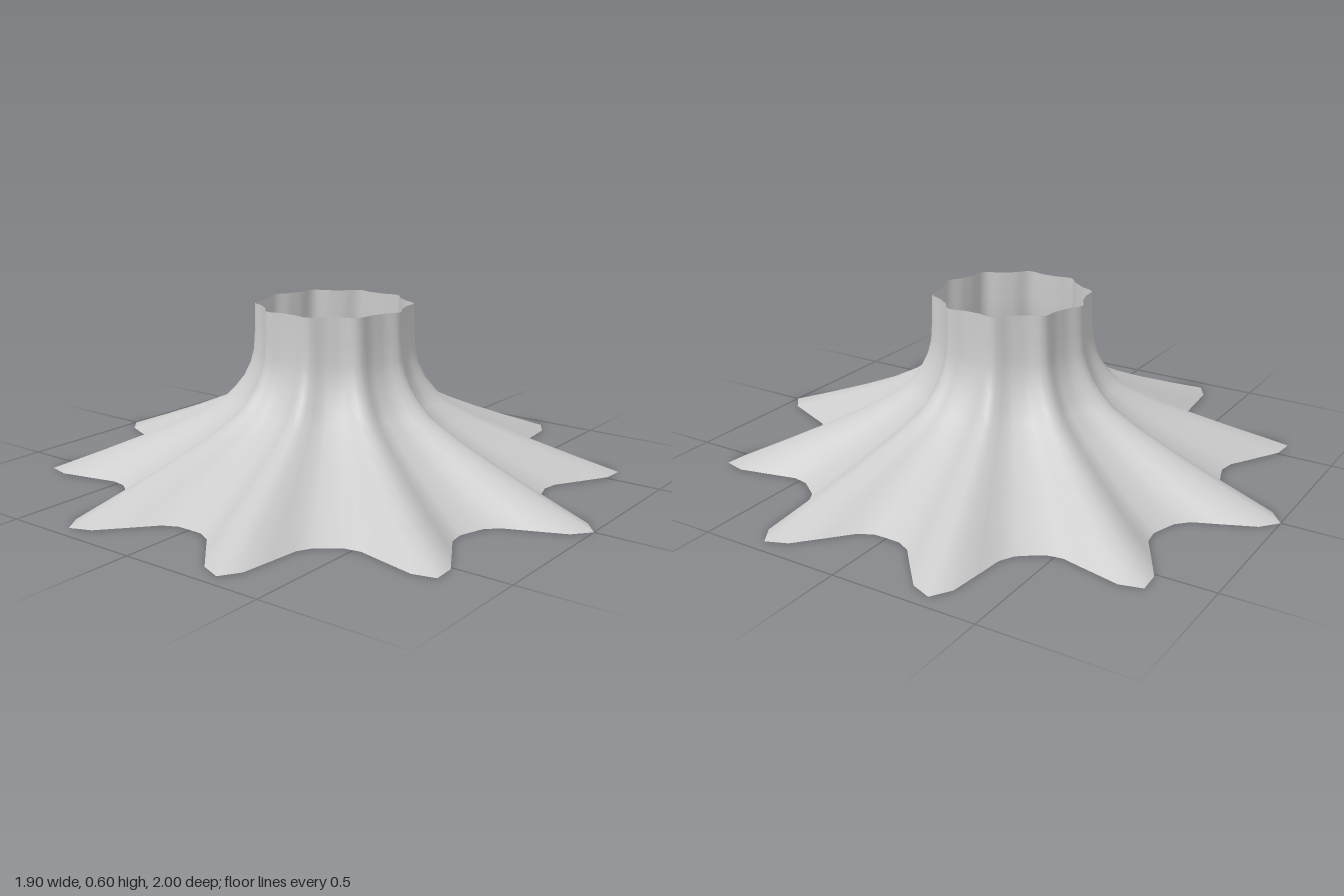
import * as THREE from 'three';
import { mergeVertices } from 'three/addons/utils/BufferGeometryUtils.js';

const RIBS = 10;

// Ridge-line profile, from the rim up to the collar: [radius, height]
const PROFILE = [
  [1, 0], [0.82, 0.068], [0.65, 0.135], [0.51, 0.195], [0.394, 0.257],
  [0.35, 0.3], [0.314, 0.345], [0.29, 0.395], [0.279, 0.44], [0.274, 0.51], [0.272, 0.6],
];

// Radius in the valley between two ridges, given the ridge radius
const valleyRadius = (ridge) => 0.249 + 0.488 * (ridge - 0.272) / 0.728;

export function createModel() {
  const group = new THREE.Group();
  group.name = 'flutedSkirt';

  let geometry = new THREE.LatheGeometry(PROFILE.map(([r, y]) => new THREE.Vector2(r, y)), RIBS * 10);

  // Pull the revolved surface in between the ridges
  const pos = geometry.attributes.position;
  for (let i = 0; i < pos.count; i++) {
    const x = pos.getX(i), z = pos.getZ(i);
    const ridge = Math.hypot(x, z);
    const valley = valleyRadius(ridge);
    const wave = ((1 + Math.cos(RIBS * Math.atan2(x, z))) / 2) ** 2;
    const k = (valley + (ridge - valley) * wave) / ridge;
    pos.setXYZ(i, x * k, pos.getY(i), z * k);
  }

  // Weld the seam for smooth shading all the way round
  geometry.deleteAttribute('uv');
  geometry.deleteAttribute('normal');
  geometry = mergeVertices(geometry, 1e-5);
  geometry.computeVertexNormals();

  const skirt = new THREE.Mesh(
    geometry,
    new THREE.MeshStandardMaterial({ color: 0xcccccc, side: THREE.DoubleSide }),
  );
  skirt.name = 'skirt';
  group.add(skirt);
  return group;
}
